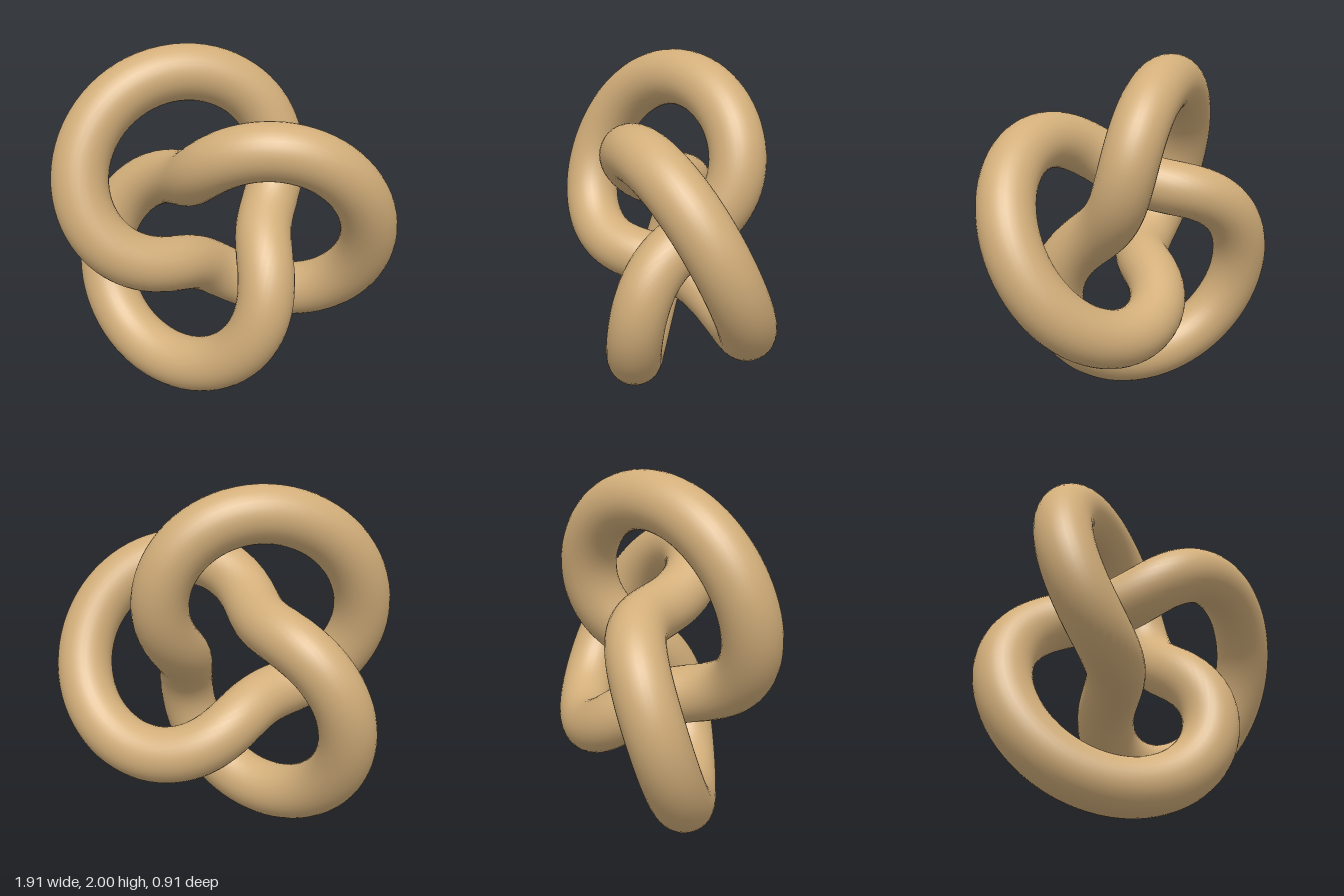
import * as THREE from 'three';

export function createModel() {
  const group = new THREE.Group();
  group.name = 'trefoilKnot';

  // One round tube winding into a three-lobed knot, one lobe pointing to +x
  const tube = new THREE.Mesh(
    new THREE.TorusKnotGeometry(0.594, 0.16, 240, 32, 2, 3),
    new THREE.MeshStandardMaterial({ color: 0xd2ae7a })
  );
  tube.name = 'knotTube';

  // The three-fold shape reaches further to +x, so shift it to centre its bounds
  tube.position.set(-0.094, 1, 0);
  group.add(tube);
  return group;
}
